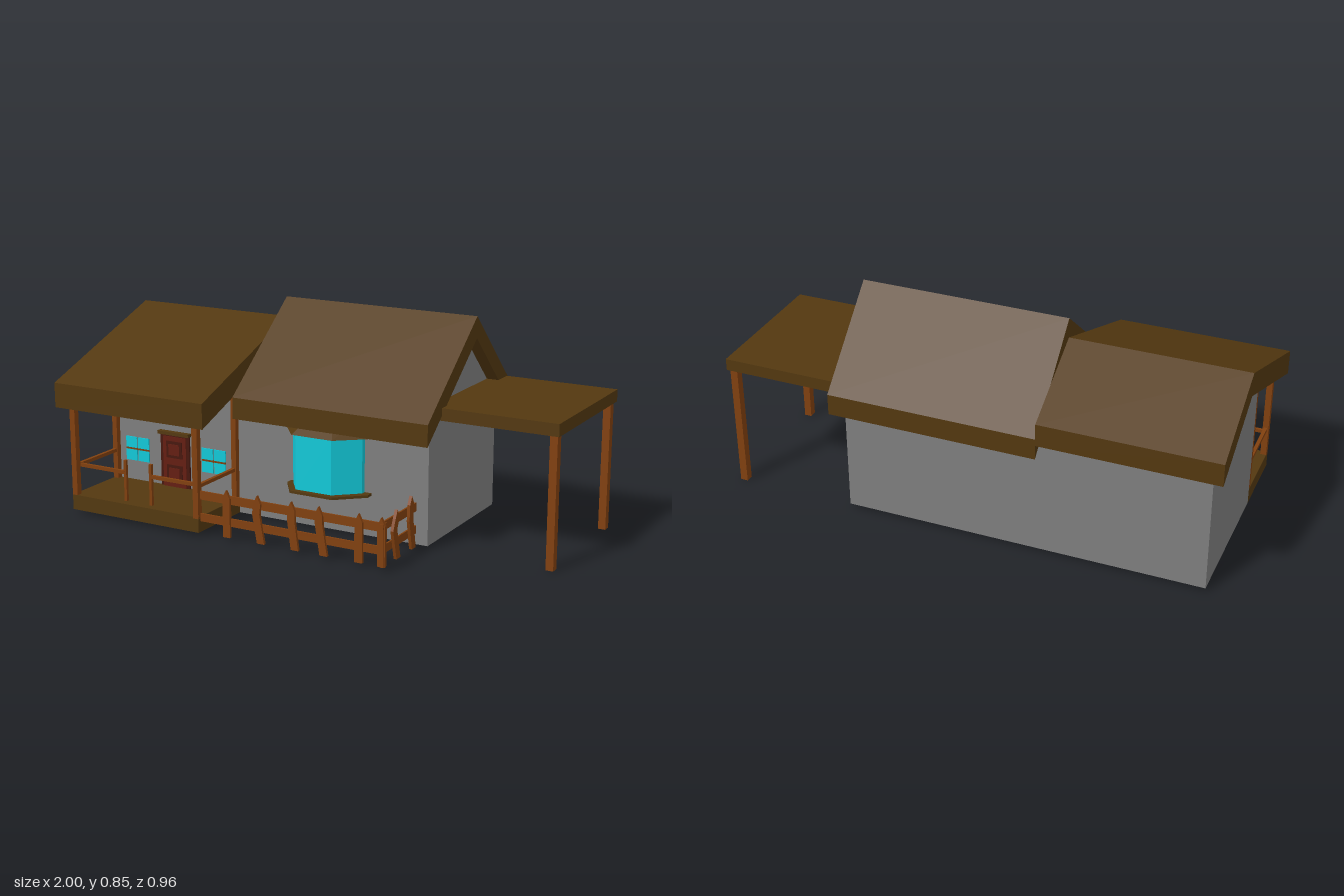
import * as THREE from 'three';
import { ConvexGeometry } from 'three/addons/geometries/ConvexGeometry.js';

function material(name, color) {
  const m = new THREE.MeshStandardMaterial({ color, side: THREE.DoubleSide });
  m.name = name;
  return m;
}

export function createModel() {
  const house = new THREE.Group();
  house.name = 'cottage';

  const roofBrown = material('dark roof brown', 0x533810);
  const timber = material('timber brown', 0x81400f);
  const plaster = material('grey plaster', 0x7e7e7e);
  const glass = material('cyan glass', 0x12c8d8);
  const doorRed = material('door red', 0x641e12);
  const doorDark = material('dark door frame', 0x48180e);

  function add(name, geometry, mat, parent = house) {
    const mesh = new THREE.Mesh(geometry, mat);
    mesh.name = name;
    parent.add(mesh);
    return mesh;
  }
  // Box given by its two extents on each axis
  function box(name, mat, [x0, x1], [y0, y1], [z0, z1], parent) {
    const g = new THREE.BoxGeometry(x1 - x0, y1 - y0, z1 - z0);
    g.translate((x0 + x1) / 2, (y0 + y1) / 2, (z0 + z1) / 2);
    return add(name, g, mat, parent);
  }
  const shapeOf = (pts) => new THREE.Shape(pts.map(([a, b]) => new THREE.Vector2(a, b)));
  // Profile of [z, y] points swept from x0 to x1
  function sweepX(name, mat, pts, x0, x1) {
    const g = new THREE.ExtrudeGeometry(shapeOf(pts), { depth: x1 - x0, bevelEnabled: false });
    g.rotateY(-Math.PI / 2).translate(x1, 0, 0);
    return add(name, g, mat);
  }
  // Flat wall in the z-y plane
  function gable(name, pts, x) {
    const g = new THREE.ShapeGeometry(shapeOf(pts));
    g.rotateY(-Math.PI / 2).translate(x, 0, 0);
    return add(name, g, plaster);
  }
  // Flat wall facing along z
  function wall(name, pts, z) {
    return add(name, new THREE.ShapeGeometry(shapeOf(pts)).translate(0, 0, z), plaster);
  }

  // Walls, open underneath
  const base = 0.015, front = 0.155, back = -0.44, left = -0.955, right = 0.49, ridge = -0.142;
  gable('rightGableWall', [[front, base], [front, 0.53], [ridge, 0.768], [back, 0.482], [back, base]], right);
  gable('leftGableWall', [[front, base], [front, 0.565], [ridge, 0.678], [back, 0.52], [back, base]], left);
  wall('frontWall', [[left, base], [right, base], [right, 0.53], [-0.3, 0.53], [-0.3, 0.565], [left, 0.565]], front);
  wall('backWall', [[left, base], [right, base], [right, 0.482], [-0.3, 0.482], [-0.3, 0.52], [left, 0.52]], back);

  // Pitched roofs
  sweepX('mainRoof', roofBrown, [[0.27, 0.52], [ridge, 0.85], [-0.48, 0.522], [-0.48, 0.437], [ridge, 0.765], [0.27, 0.435]], -0.3, 0.54);
  sweepX('porchRoof', roofBrown, [[0.48, 0.54], [ridge, 0.77], [-0.48, 0.585], [-0.48, 0.495], [ridge, 0.675], [0.48, 0.44]], -1, -0.3);

  // Side shelter
  box('shelterRoof', roofBrown, [right, 1], [0.51, 0.558], [back, front]);
  for (const z of [0.125, -0.415]) {
    box('shelterPost', timber, [0.96, 0.99], [0, 0.512], [z - 0.016, z + 0.016]);
  }

  // Porch with posts and railings
  const porch = new THREE.Group();
  porch.name = 'porch';
  house.add(porch);
  box('porchFloor', roofBrown, [left, -0.347], [base, 0.077], [front, 0.45], porch);
  for (const x of [-0.943, -0.359]) {
    box('frontPost', timber, [x - 0.012, x + 0.012], [0.07, 0.47], [0.425, 0.45], porch);
    box('wallPost', timber, [x - 0.011, x + 0.011], [0.07, 0.56], [0.152, 0.178], porch);
    box('sideRail', timber, [x - 0.007, x + 0.007], [0.19, 0.204], [0.14, 0.437], porch);
  }
  for (const [x, end] of [[-0.716, -0.943], [-0.594, -0.359]]) {
    box('stepPost', timber, [x - 0.006, x + 0.006], [0.077, 0.245], [0.405, 0.417], porch);
    box('frontRail', timber, [Math.min(x, end), Math.max(x, end)], [0.188, 0.202], [0.406, 0.418], porch);
  }

  // Front door
  const door = new THREE.Group();
  door.name = 'door';
  house.add(door);
  box('doorFrame', doorDark, [-0.722, -0.582], [0.077, 0.3], [0.15, 0.163], door);
  box('doorLeaf', doorRed, [-0.708, -0.596], [0.077, 0.288], [0.15, 0.167], door);
  for (const [y0, y1] of [[0.1, 0.17], [0.2, 0.27]]) {
    box('doorPanel', doorDark, [-0.69, -0.614], [y0, y1], [0.15, 0.17], door);
    box('doorPanelCentre', doorRed, [-0.678, -0.626], [y0 + 0.012, y1 - 0.012], [0.15, 0.173], door);
  }
  box('doorLintel', roofBrown, [-0.727, -0.577], [0.297, 0.31], [0.15, 0.178], door);

  // Four-pane windows
  for (const x of [-0.842, -0.467]) {
    const win = new THREE.Group();
    win.name = 'window';
    house.add(win);
    for (const sx of [-1, 1]) for (const sy of [-1, 1]) {
      const px = x + sx * 0.03, py = 0.21 + sy * 0.027;
      box('pane', glass, [px - 0.027, px + 0.027], [py - 0.023, py + 0.023], [0.151, 0.16], win);
    }
    box('glazingBar', timber, [x - 0.057, x + 0.057], [0.205, 0.215], [0.152, 0.159], win);
  }

  // Bay window: each tier is the hull of a lower and an upper outline
  function tier(name, mat, y0, lower, y1, upper) {
    const pts = [];
    lower.forEach(([x, z]) => pts.push(new THREE.Vector3(x, y0, z)));
    upper.forEach(([x, z]) => pts.push(new THREE.Vector3(x, y1, z)));
    return add(name, new ConvexGeometry(pts), mat);
  }
  const bay = [[-0.085, 0.15], [-0.085, 0.175], [-0.027, 0.255], [0.13, 0.255], [0.22, 0.175], [0.22, 0.15]];
  const rim = [[-0.108, 0.15], [-0.108, 0.18], [-0.037, 0.268], [0.14, 0.268], [0.247, 0.18], [0.247, 0.15]];
  const sill = [[-0.105, 0.15], [-0.105, 0.185], [-0.04, 0.278], [0.145, 0.278], [0.25, 0.185], [0.25, 0.15]];
  const crown = [[-0.05, 0.15], [0, 0.195], [0.105, 0.195], [0.18, 0.15]];
  tier('bayGlass', glass, 0.185, bay, 0.408, bay);
  tier('baySill', roofBrown, 0.177, sill, 0.187, sill);
  tier('bayRoof', roofBrown, 0.406, rim, 0.463, crown);

  // Fence with pointed, crooked pickets
  const fence = new THREE.Group();
  fence.name = 'fence';
  house.add(fence);
  for (const [y0, y1] of [[0.058, 0.09], [0.146, 0.18]]) {
    box('frontFenceRail', timber, [-0.35, 0.445], [y0, y1], [0.427, 0.434], fence);
    box('sideFenceRail', timber, [0.434, 0.441], [y0, y1], [front, 0.434], fence);
  }
  // Picket outline leaning from foot to knee to tip
  function picket(foot, knee, tip, height) {
    const w = 0.016;
    const s = shapeOf([[foot - w, base], [foot + w, base], [knee + w, 0.13], [tip + w, height - 0.032],
      [tip, height], [tip - w, height - 0.032], [knee - w, 0.13]]);
    return new THREE.ExtrudeGeometry(s, { depth: 0.012, bevelEnabled: false });
  }
  const frontPickets = [[-0.223, -0.223, -0.223], [-0.07, -0.09, -0.085], [0.079, 0.064, 0.064],
    [0.203, 0.184, 0.182], [0.35, 0.35, 0.35], [0.444, 0.444, 0.444]];
  for (const [f, k, t] of frontPickets) {
    add('frontPicket', picket(f, k, t, 0.203).translate(0, 0, 0.432), timber, fence);
  }
  for (const [f, k, t, h] of [[0.325, 0.353, 0.335, 0.205], [0.2, 0.222, 0.218, 0.225]]) {
    add('sidePicket', picket(f, k, t, h).rotateY(-Math.PI / 2).translate(0.455, 0, 0), timber, fence);
  }
  box('cornerPost', timber, [0.44, 0.455], [base, 0.18], [0.42, 0.448], fence);

  return house;
}
